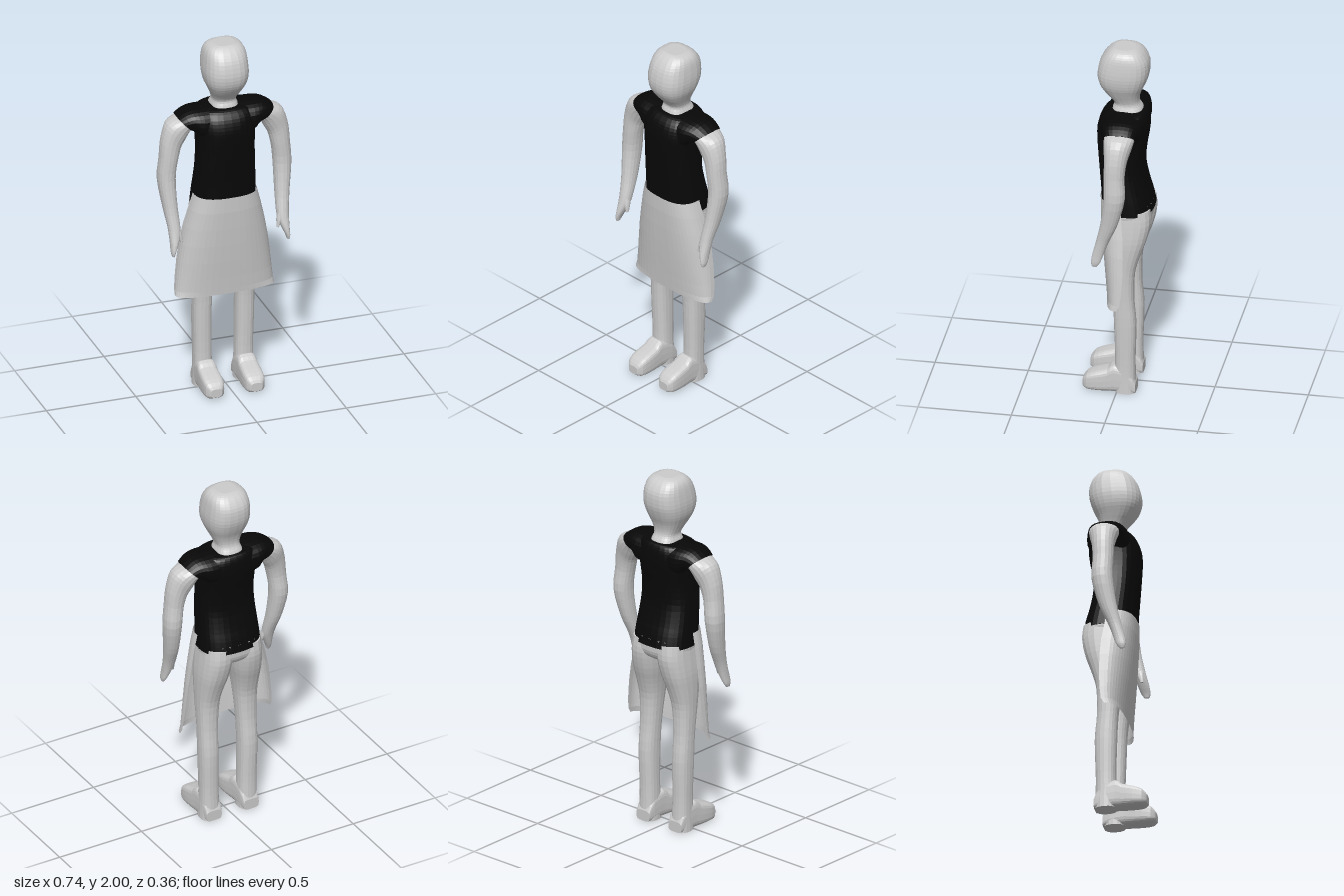
import * as THREE from 'three';

const grey = new THREE.MeshStandardMaterial({ color: 0xcccccc, flatShading: true });
const black = new THREE.MeshStandardMaterial({ color: 0x080808, flatShading: true });
const cloth = new THREE.MeshStandardMaterial({ color: 0xcccccc, flatShading: true, side: THREE.DoubleSide });

const power = (v, e) => Math.sign(v) * Math.abs(v) ** e;

// Level ring from its extents: [centre x, y, z, half width, half depth, tilt]
const level = (x0, x1, y, z0, z1) => [(x0 + x1) / 2, y, (z0 + z1) / 2, (x1 - x0) / 2, (z1 - z0) / 2, 0];
const even = (w, y, z0, z1) => level(-w, w, y, z0, z1);

// Grid of points turned into a surface, optionally closed around each row
function skin(rows, closed) {
  const n = rows[0].length, pos = rows.flat(2), idx = [];
  for (let i = 0; i < rows.length - 1; i++) {
    for (let j = 0; j < (closed ? n : n - 1); j++) {
      const a = i * n + j, b = i * n + (j + 1) % n;
      idx.push(a, b, a + n, b, b + n, a + n);
    }
  }
  const g = new THREE.BufferGeometry();
  g.setAttribute('position', new THREE.Float32BufferAttribute(pos, 3));
  g.setIndex(idx);
  g.computeVertexNormals();
  return g;
}

// Capped loft through rounded rings, listed from top to bottom
function loft(rings, e = 0.8, sides = 24, steps = 3) {
  const mix = (i, t) => rings[0].map((_, k) => {
    const at = (m) => rings[Math.min(Math.max(m, 0), rings.length - 1)][k];
    const [p, a, b, q] = [at(i - 1), at(i), at(i + 1), at(i + 2)];
    return a + 0.5 * t * (b - p + t * (2 * p - 5 * a + 4 * b - q + t * (3 * (a - b) + q - p)));
  });
  const all = [];
  for (let i = 0; i < rings.length - 1; i++) {
    for (let s = 0; s < steps; s++) all.push(mix(i, s / steps));
  }
  all.push(rings[rings.length - 1]);
  const rows = all.map(([x, y, z, ru, rz, tilt]) => Array.from({ length: sides }, (_, j) => {
    const a = (j / sides) * Math.PI * 2;
    const u = ru * power(Math.cos(a), e);
    return [x + u * Math.cos(tilt), y + u * Math.sin(tilt), z + rz * power(Math.sin(a), e)];
  }));
  const cap = (r) => Array(sides).fill(r.slice(0, 3));
  return skin([cap(all[0]), ...rows, cap(all[all.length - 1])], true);
}

function mirrored(geometry) {
  const g = geometry.clone().scale(-1, 1, 1);
  g.setIndex(Array.from(geometry.index.array).reverse());
  g.computeVertexNormals();
  return g;
}

export function createModel() {
  const model = new THREE.Group();
  const add = (name, geometry, material = grey) => {
    const mesh = new THREE.Mesh(geometry, material);
    mesh.name = name;
    model.add(mesh);
  };
  const pair = (name, geometry, material) => {
    add('left' + name, geometry, material);
    add('right' + name, mirrored(geometry), material);
  };

  // Head and neck
  add('headAndNeck', loft([
    even(0.055, 2.0, -0.075, 0.035),
    even(0.085, 1.99, -0.1, 0.055),
    even(0.105, 1.965, -0.127, 0.083),
    even(0.115, 1.92, -0.149, 0.11),
    even(0.12, 1.85, -0.149, 0.125),
    even(0.111, 1.79, -0.13, 0.116),
    even(0.09, 1.74, -0.107, 0.086),
    even(0.072, 1.7, -0.096, 0.052),
    even(0.064, 1.67, -0.098, 0.035),
    even(0.073, 1.64, -0.115, 0.045),
    even(0.085, 1.6, -0.125, 0.05),
  ], 0.75));

  // Shirt body
  add('shirt', loft([
    even(0.085, 1.637, -0.12, 0.045),
    even(0.14, 1.628, -0.135, 0.075),
    even(0.163, 1.595, -0.147, 0.105),
    even(0.163, 1.54, -0.151, 0.122),
    even(0.158, 1.48, -0.145, 0.125),
    even(0.156, 1.4, -0.132, 0.12),
    even(0.16, 1.3, -0.126, 0.112),
    even(0.166, 1.2, -0.145, 0.104),
    even(0.17, 1.13, -0.165, 0.1),
    even(0.173, 1.06, -0.18, 0.095),
  ], 0.8, 32), black);

  // Short sleeves, turning from the shoulder down to the arm
  const deg = Math.PI / 180;
  pair('Sleeve', loft([
    [0.05, 1.56, -0.025, 0.08, 0.11, 90 * deg],
    [0.14, 1.56, -0.025, 0.081, 0.113, 88 * deg],
    [0.187, 1.568, -0.025, 0.07, 0.098, 65 * deg],
    [0.228, 1.562, -0.028, 0.054, 0.084, 45 * deg],
  ]), black);

  // Arm and mitten hand
  pair('Arm', loft([
    [0.19, 1.568, -0.027, 0.05, 0.078, 60 * deg],
    [0.228, 1.561, -0.028, 0.051, 0.081, 45 * deg],
    [0.27, 1.52, -0.025, 0.07, 0.072, 45 * deg],
    [0.297, 1.46, -0.02, 0.064, 0.06, 38 * deg],
    [0.312, 1.37, -0.016, 0.051, 0.055, 11 * deg],
    level(0.275, 0.372, 1.25, -0.075, 0.038),
    level(0.274, 0.353, 1.1, -0.038, 0.056),
    level(0.27, 0.338, 1.0, 0.005, 0.078),
    level(0.273, 0.334, 0.95, 0.025, 0.09),
    level(0.29, 0.332, 0.9, 0.042, 0.102),
    level(0.307, 0.332, 0.86, 0.058, 0.106),
    level(0.314, 0.327, 0.837, 0.075, 0.1),
  ], 0.9, 18));
  pair('Thumb', loft([
    level(0.272, 0.3, 0.98, 0.035, 0.075),
    level(0.265, 0.29, 0.945, 0.045, 0.08),
    level(0.263, 0.276, 0.905, 0.062, 0.08),
  ], 0.9, 12));

  // Hips and legs
  add('hips', loft([
    even(0.168, 1.1, -0.172, 0.09),
    even(0.168, 1.03, -0.174, 0.085),
    even(0.13, 0.985, -0.15, 0.075),
    even(0.07, 0.955, -0.09, 0.05),
  ]));
  pair('Leg', loft([
    level(0.002, 0.165, 1.08, -0.168, 0.085),
    level(0.006, 0.173, 1.0, -0.174, 0.085),
    level(0.018, 0.18, 0.9, -0.152, 0.075),
    level(0.04, 0.178, 0.8, -0.117, 0.06),
    level(0.055, 0.174, 0.7, -0.092, 0.045),
    level(0.065, 0.17, 0.55, -0.088, 0.025),
    level(0.068, 0.17, 0.4, -0.1, 0.018),
    level(0.067, 0.165, 0.2, -0.095, 0.012),
    level(0.064, 0.165, 0.1, -0.096, 0.015),
    level(0.062, 0.168, 0.0, -0.1, 0.015),
  ], 0.8, 20));

  // Foot, lofted from heel to toe: half width, z, sole and top heights
  const foot = [
    [0.045, -0.1, 0, 0.06], [0.051, -0.06, 0, 0.13], [0.053, 0.015, 0, 0.158], [0.055, 0.05, 0, 0.133],
    [0.057, 0.11, 0, 0.114], [0.051, 0.16, 0.003, 0.092], [0.03, 0.183, 0.015, 0.062],
  ].map(([w, z, y0, y1]) => level(0.113 - w, 0.113 + w, -z, y0, y1));
  pair('Foot', loft(foot, 0.5, 24, 2).rotateX(-Math.PI / 2));

  // Apron wrapping the front: y, half width, side edge z, front z
  const apron = [
    [1.135, 0.173, -0.025, 0.104], [1.05, 0.197, -0.032, 0.102], [0.95, 0.222, -0.045, 0.095],
    [0.85, 0.242, -0.05, 0.086], [0.75, 0.256, -0.05, 0.076], [0.65, 0.267, -0.045, 0.065],
    [0.58, 0.273, -0.037, 0.058], [0.55, 0.275, -0.018, 0.055],
  ].map(([y, w, z0, z1]) => Array.from({ length: 25 }, (_, j) => {
    const a = (j / 24) * Math.PI;
    return [w * power(Math.cos(a), 0.75), y, z0 + (z1 - z0) * power(Math.sin(a), 0.75)];
  }));
  add('apron', skin(apron, false), cloth);

  return model;
}
